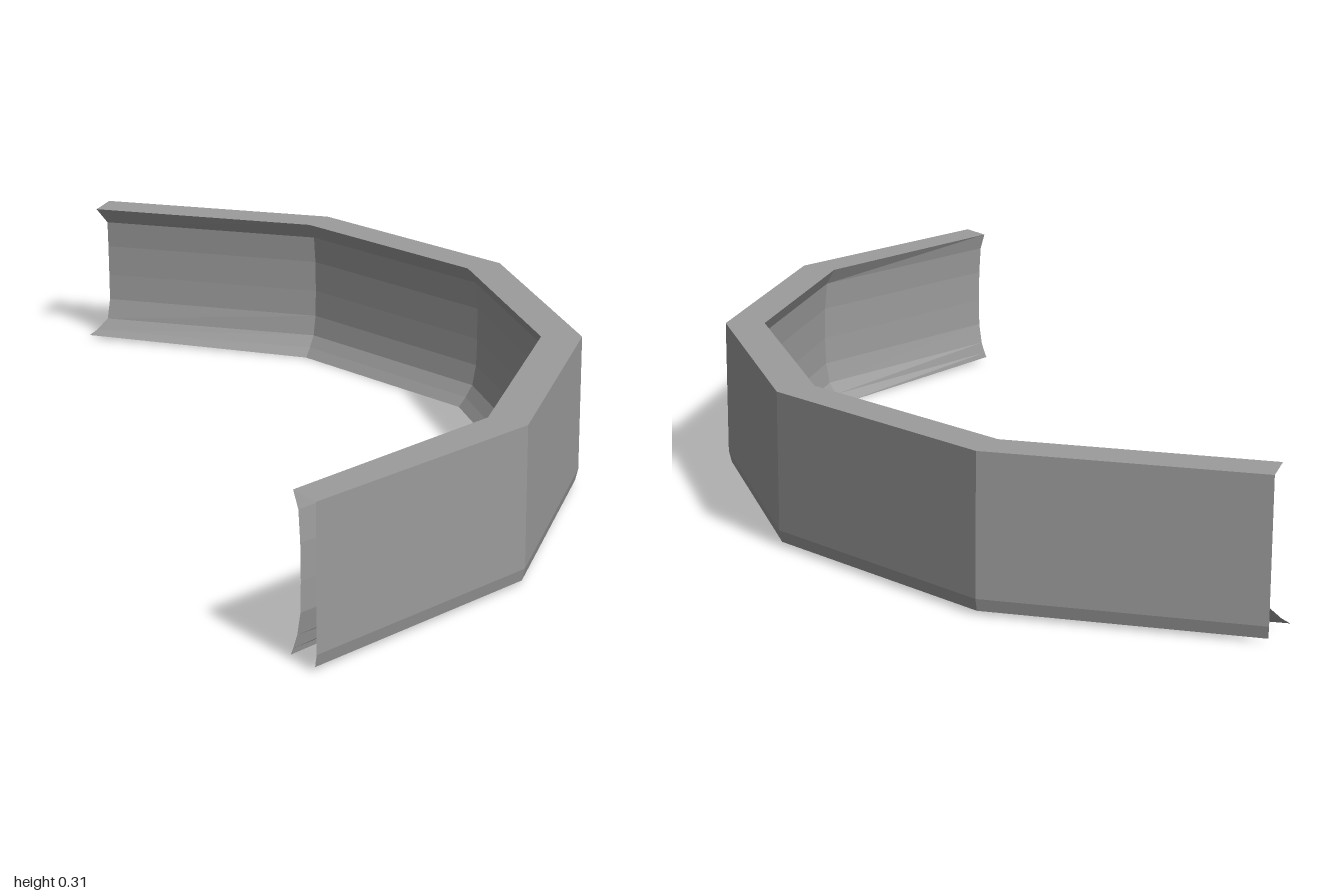
import * as THREE from 'three';

const RADIUS = 1.0353, CENTRE_X = -0.6, COLUMNS = 6;
const TIP_SHARE = [1, 0, 0, 0, 0, 0.25]; // how far each column runs out into pointed lips

// Point on the twelve-sided plan: column corner, height, inset towards the centre
function corner(i, [y, inset, tip = 0]) {
  const a = THREE.MathUtils.degToRad(-75 + 30 * i);
  const end = i === 0 || i === COLUMNS - 1;
  // the lining is shallower, and its foot slightly raised, at the two ends
  const r = RADIUS - (end ? Math.min(inset, 0.068) : inset);
  const x = CENTRE_X + r * Math.cos(a) - TIP_SHARE[i] * tip;
  return [x, end ? Math.max(y, 0.008) : y, r * Math.sin(a)];
}

// Sweep a profile of [height, inset, tip] rows around the plan
function sweep(name, rows, material) {
  const positions = [], index = [];
  for (const row of rows)
    for (let i = 0; i < COLUMNS; i++) positions.push(...corner(i, row));
  for (let j = 0; j < rows.length - 1; j++) {
    for (let i = 0; i < COLUMNS - 1; i++) {
      const a = j * COLUMNS + i, b = a + COLUMNS;
      index.push(a, b, a + 1, b, b + 1, a + 1);
    }
  }
  const geometry = new THREE.BufferGeometry();
  geometry.setAttribute('position', new THREE.Float32BufferAttribute(positions, 3));
  geometry.setIndex(index);
  geometry.computeVertexNormals();
  const mesh = new THREE.Mesh(geometry, material);
  mesh.name = name;
  return mesh;
}

export function createModel() {
  const group = new THREE.Group();
  group.name = 'curvedWall';
  const material = new THREE.MeshStandardMaterial({
    color: 0x9c9c9c, flatShading: true, side: THREE.DoubleSide,
  });

  const top = 0.315;
  // Flat outer panels with a small bevel at the foot
  group.add(sweep('outerPanels', [[0.008, 0.006], [0.033, 0], [top, 0]], material));
  // Flat rim joining the panels to the lining
  group.add(sweep('topRim', [[top, 0], [top, 0.082, 0.024]], material));
  // Hollowed lining, flaring at its top and foot; the underside stays open
  group.add(sweep('innerLining', [
    [top, 0.082, 0.024], [0.28, 0.062], [0.22, 0.056], [0.15, 0.055],
    [0.09, 0.057], [0.045, 0.066, 0.006], [0.02, 0.083, 0.032], [0, 0.1, 0.05],
  ], material));
  return group;
}
